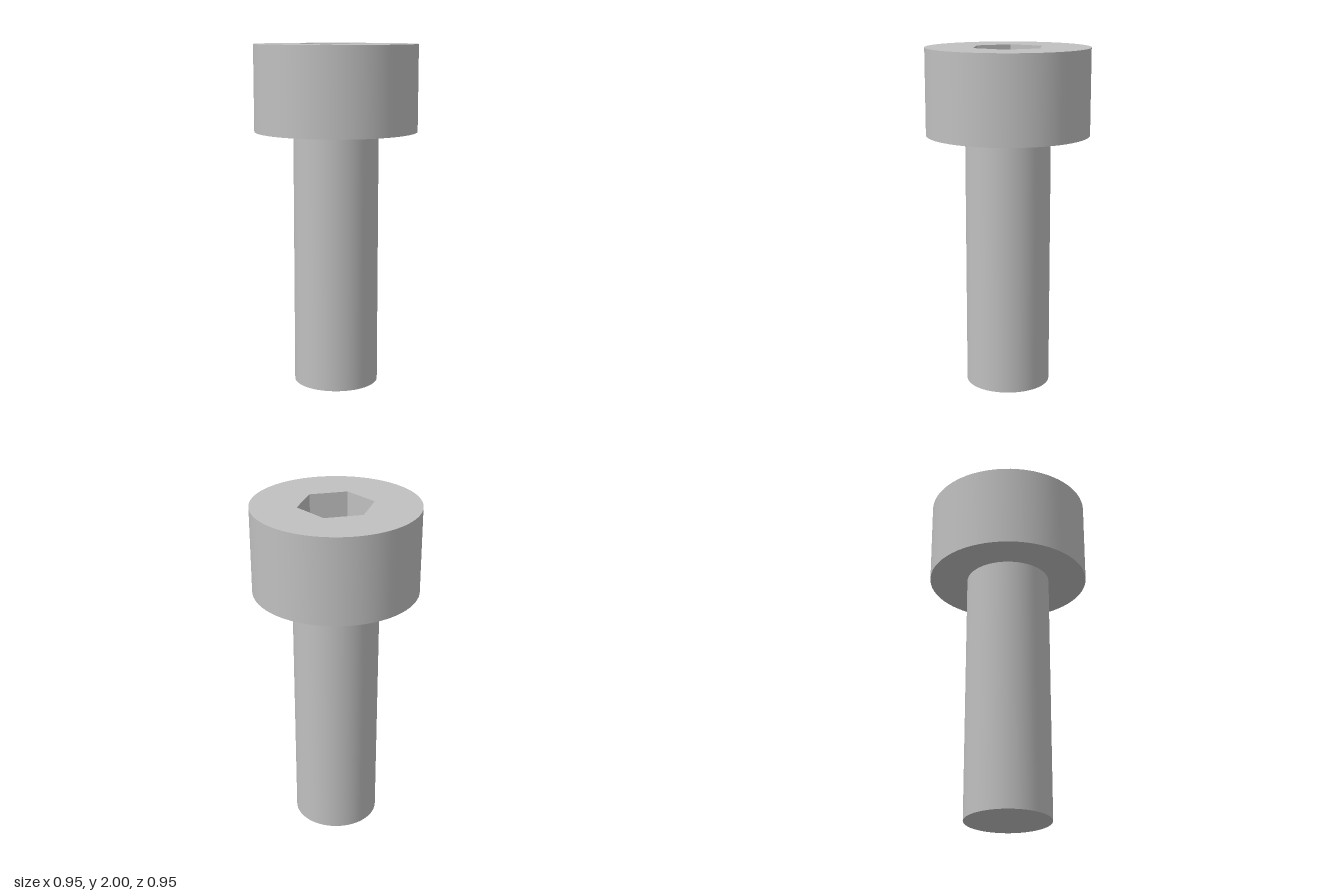
import * as THREE from 'three';

const HEAD_R = 0.474, SHANK_R = 0.248, HEAD_Y = 1.5, TOP_Y = 2;
const HEX_R = 0.217, HEX_DEPTH = 0.25, SEGMENTS = 64;

export function createModel() {
  const model = new THREE.Group();
  model.name = 'socketHeadBolt';
  const steel = new THREE.MeshStandardMaterial({ color: 0xc0c0c0 });
  steel.name = 'steel grey';

  const add = (name, geometry, parent = model) => {
    const mesh = new THREE.Mesh(geometry, steel);
    mesh.name = name;
    parent.add(mesh);
    return mesh;
  };

  // Shank: plain cylinder closed at the bottom
  add('shank', new THREE.CylinderGeometry(SHANK_R, SHANK_R, HEAD_Y, SEGMENTS).translate(0, HEAD_Y / 2, 0));

  // Head: side wall, underside ring and a top face with a hexagonal opening
  const head = new THREE.Group();
  head.name = 'head';
  model.add(head);
  const headHeight = TOP_Y - HEAD_Y;
  add('headSide', new THREE.CylinderGeometry(HEAD_R, HEAD_R, headHeight, SEGMENTS, 1, true)
    .translate(0, HEAD_Y + headHeight / 2, 0), head);
  add('headUnderside', new THREE.RingGeometry(SHANK_R, HEAD_R, SEGMENTS)
    .rotateX(Math.PI / 2).translate(0, HEAD_Y, 0), head);

  const hexPoints = Array.from({ length: 6 }, (_, i) =>
    new THREE.Vector2(HEX_R * Math.cos(i * Math.PI / 3), HEX_R * Math.sin(i * Math.PI / 3)));
  const topShape = new THREE.Shape().absarc(0, 0, HEAD_R, 0, Math.PI * 2);
  topShape.holes.push(new THREE.Path(hexPoints));
  add('headTop', new THREE.ShapeGeometry(topShape, SEGMENTS)
    .rotateX(-Math.PI / 2).translate(0, TOP_Y, 0), head);

  // Hex socket: six inward-facing walls and a flat floor
  const socket = new THREE.Group();
  socket.name = 'hexSocket';
  head.add(socket);
  const inradius = HEX_R * Math.cos(Math.PI / 6);
  for (let i = 0; i < 6; i++) {
    add('socketWall', new THREE.PlaneGeometry(HEX_R, HEX_DEPTH)
      .translate(0, TOP_Y - HEX_DEPTH / 2, -inradius).rotateY(i * Math.PI / 3), socket);
  }
  add('socketFloor', new THREE.ShapeGeometry(new THREE.Shape(hexPoints))
    .rotateX(-Math.PI / 2).translate(0, TOP_Y - HEX_DEPTH, 0), socket);

  return model;
}
